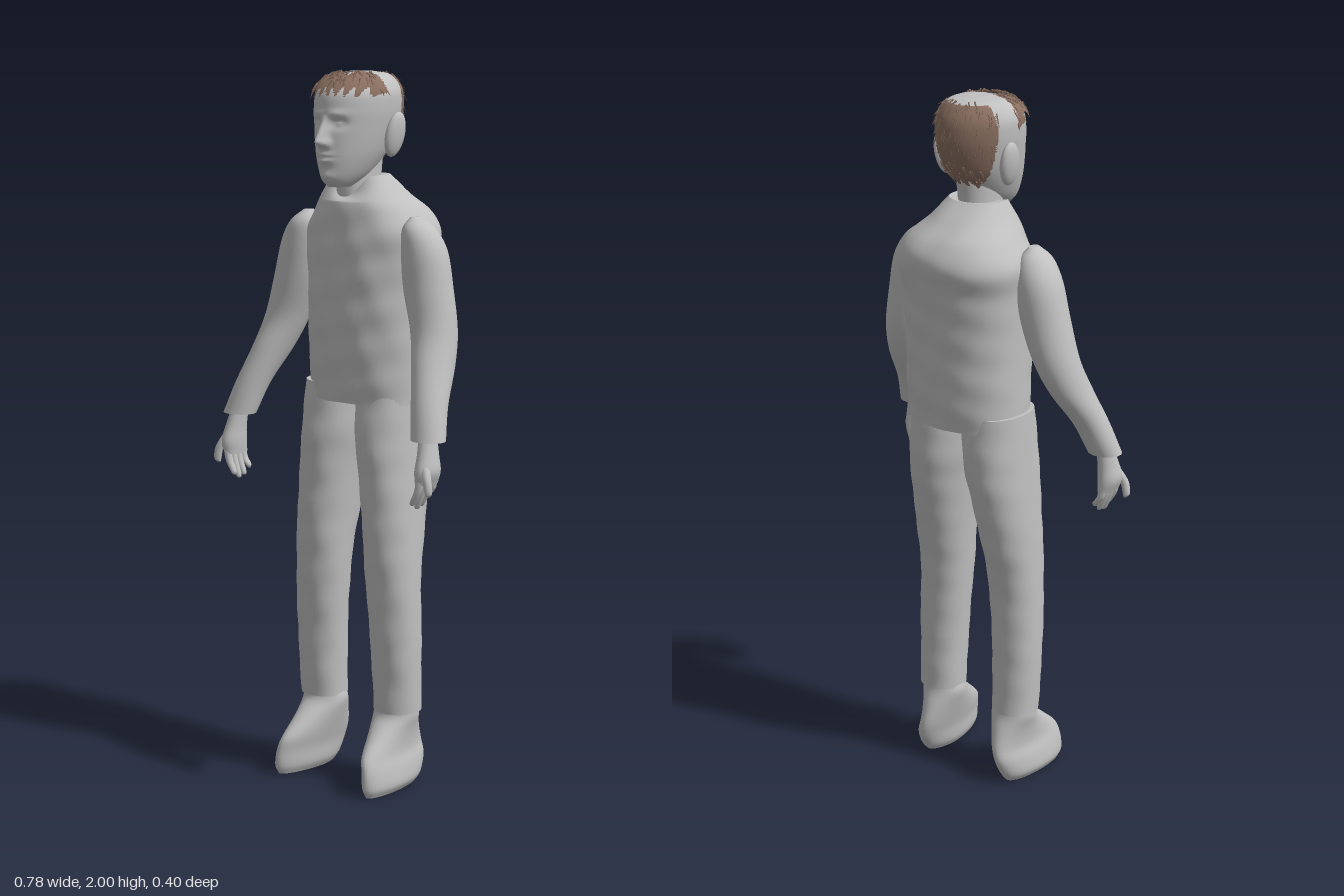
import * as THREE from 'three';
import { mergeGeometries } from 'three/addons/utils/BufferGeometryUtils.js';

const V = (x, y, z) => new THREE.Vector3(x, y, z);
const bump = (d, s) => Math.exp(-((d / s) ** 2));
const clamp01 = (t) => Math.min(1, Math.max(0, t));

// Lofts elliptical rings through sections [y, centreX, halfWidth, zFront, zBack], bottom to top.
function loft(sections, { n = 32, rows = 30, power = 1, grow = 0, shape = null, keep = null } = {}) {
  const a = new THREE.CatmullRomCurve3(sections.map(([y, cx, w]) => V(cx, y, w)), false, 'catmullrom');
  const b = new THREE.CatmullRomCurve3(sections.map((s) => V(s[3], 0, s[4])), false, 'catmullrom');
  const pts = [];
  const soft = (v) => Math.sign(v) * Math.abs(v) ** power;
  for (let i = 0; i <= rows; i++) {
    const p = a.getPoint(i / rows), q = b.getPoint(i / rows);
    for (let j = 0; j < n; j++) {
      const t = (j / n) * Math.PI * 2;
      const v = V(p.x + (p.z + grow) * soft(Math.sin(t)), p.y + grow * 0.4,
        (q.x + q.z) / 2 + ((q.x - q.z) / 2 + grow) * soft(Math.cos(t)));
      if (shape) shape(v, t);
      pts.push(v);
    }
  }
  const index = [];
  const face = (...f) => {
    const c = f.reduce((s, k) => s.add(pts[k]), V(0, 0, 0)).divideScalar(3);
    if (!keep || keep(c)) index.push(...f);
  };
  for (let i = 0; i < rows; i++) for (let j = 0; j < n; j++) {
    const k = (j + 1) % n, p = i * n + j, q = i * n + k;
    face(p, q, q + n);
    face(p, q + n, p + n);
  }
  // Separate rings for the end caps keep their edges sharp
  for (const [row, top] of [[0, false], [rows, true]]) {
    const ring = pts.slice(row * n, row * n + n), s = pts.length;
    pts.push(...ring, ring.reduce((m, v) => m.add(v), V(0, 0, 0)).divideScalar(n));
    for (let j = 0; j < n; j++) {
      const k = s + ((j + 1) % n);
      if (top) face(s + n, s + j, k); else face(s + n, k, s + j);
    }
  }
  const g = new THREE.BufferGeometry().setFromPoints(pts);
  g.setIndex(index);
  g.computeVertexNormals();
  return g;
}

// Gentle cloth folds
const folds = (amount) => (v) => {
  v.z += amount * Math.sin(v.y * 45 + v.x * 22) * Math.sin(v.x * 38 - v.y * 17);
};

const TORSO = [[1.095, .02, .18, .105, -.16], [1.2, .02, .18, .115, -.17], [1.35, .02, .181, .12, -.175],
  [1.48, .02, .185, .12, -.185], [1.56, .02, .193, .115, -.2], [1.62, .02, .16, .11, -.178],
  [1.67, .015, .118, .1, -.12], [1.72, .012, .082, .075, -.065]];
const LEG = [[.215, .135, .066, .07, -.06], [.4, .135, .072, .08, -.055], [.6, .127, .077, .093, -.06],
  [.75, .119, .08, .1, -.09], [.9, .107, .085, .102, -.125], [1.0, .097, .09, .103, -.138], [1.14, .09, .092, .085, -.135]];
const FOOT = [[0, .15, .036, .175, -.05], [.025, .15, .05, .186, -.07], [.07, .145, .05, .184, -.09],
  [.11, .135, .05, .17, -.09], [.16, .13, .058, .115, -.075], [.2, .13, .066, .07, -.058], [.23, .133, .062, .062, -.052]];
const ARM = [[1.03, .34, .05, .167, .08], [1.12, .317, .05, .143, .04], [1.22, .287, .056, .108, -.025],
  [1.31, .262, .064, .077, -.055], [1.42, .233, .07, .07, -.062], [1.52, .215, .064, .068, -.06],
  [1.58, .2, .044, .06, -.04], [1.613, .19, .012, .03, -.005]];
const PALM = [[.915, .345, .022, .178, .095], [.95, .35, .03, .182, .095], [.99, .347, .027, .168, .098], [1.04, .34, .024, .15, .098]];
const HEAD = [[1.69, .01, .028, .13, .06], [1.705, .01, .043, .148, .02], [1.73, .01, .06, .156, -.02],
  [1.77, .01, .078, .16, -.06], [1.81, .01, .09, .16, -.09], [1.86, .01, .1, .158, -.108], [1.9, .01, .105, .155, -.113],
  [1.94, .01, .104, .146, -.108], [1.97, .01, .088, .118, -.092], [1.988, .01, .064, .08, -.07], [1.996, .01, .02, .03, -.02]];

// Nose, brow, eyes, lips and chin
function faceShape(v) {
  if (v.z < 0.06) return;
  const x = v.x - 0.01, y = v.y, ax = Math.abs(x);
  const ridge = y > 1.815 ? clamp01((1.885 - y) / 0.07) : bump(y - 1.815, 0.014);
  v.z += 0.04 * ridge * bump(x, 0.012)
    + 0.012 * bump(ax - 0.014, 0.008) * bump(y - 1.808, 0.011)
    + 0.005 * bump(ax - 0.035, 0.025) * bump(y - 1.888, 0.01)
    - 0.014 * bump(ax - 0.036, 0.02) * bump(y - 1.862, 0.013)
    + 0.009 * bump(ax - 0.037, 0.011) * bump(y - 1.861, 0.007)
    + 0.011 * bump(x, 0.024) * bump(y - 1.77, 0.015)
    - 0.009 * bump(x, 0.024) * bump(y - 1.771, 0.004)
    + 0.007 * bump(x, 0.025) * bump(y - 1.72, 0.014);
}

export function createModel() {
  const model = new THREE.Group();
  model.name = 'standingFigure';
  const grey = new THREE.MeshStandardMaterial({ color: 0xc0c0c0, side: THREE.DoubleSide });
  grey.name = 'plain grey';
  const brown = new THREE.MeshStandardMaterial({ color: 0x8a6f60, side: THREE.DoubleSide });
  brown.name = 'hair brown';
  const add = (name, geometry, material = grey) => {
    const mesh = new THREE.Mesh(geometry, material);
    mesh.name = name;
    model.add(mesh);
    return mesh;
  };

  // Shirt, with the collar dipping at the front
  add('shirt', loft(TORSO, {
    n: 64, rows: 70, power: 0.88,
    shape: (v, t) => {
      folds(0.003)(v);
      v.y -= 0.055 * clamp01((v.y - 1.65) / 0.07) * Math.max(0, Math.cos(t)) ** 4;
    },
  }));

  // Limbs, mirrored left and right
  for (const [side, s] of [['left', 1], ['right', -1]]) {
    const place = (list, shift) => list.map(([y, a, w, f, b]) => [y, s * a + shift(y), w, f, b]);
    const armShift = (y) => 0.0175 * clamp01((y - 1.05) / 0.5);
    add(side + 'TrouserLeg', loft(place(LEG, () => 0.01), { n: 40, rows: 50, power: 0.92, shape: folds(0.002) }));
    add(side + 'Foot', loft(place(FOOT, () => 0.01), {
      n: 40, rows: 24,
      // narrow the toe and turn it outwards
      shape: (v) => {
        const k = clamp01((v.z - 0.03) / 0.15), c = s * 0.15 + 0.01;
        v.x = c + (v.x - c) * (1 - 0.15 * k) + s * 0.012 * k;
      },
    }));
    add(side + 'Sleeve', loft(place(ARM, armShift), { n: 36, rows: 44 }));

    // Hand with four fingers and a thumb
    const hand = [loft(place(PALM, () => 0), { n: 24, rows: 14 })];
    [[.107, .868], [.128, .85], [.149, .845], [.169, .857]].forEach(([z, tip]) => {
      hand.push(loft(place([[tip, .322, .004, z + .004, z - .004], [tip + .01, .325, .009, z + .009, z - .009],
        [.9, .342, .011, z + .011, z - .011], [.945, .35, .011, z + .011, z - .011]], () => 0), { n: 10, rows: 10 }));
    });
    hand.push(loft(place([[.888, .378, .005, .178, .168], [.9, .381, .01, .186, .163],
      [.935, .374, .012, .185, .16], [.975, .355, .012, .17, .145]], () => 0), { n: 10, rows: 10 }));
    add(side + 'Hand', mergeGeometries(hand));

    // Ear
    const ear = add(side + 'Ear', new THREE.SphereGeometry(1, 20, 14));
    ear.scale.set(0.018, 0.062, 0.036);
    ear.position.set(0.01 + s * 0.112, 1.83, -0.005);
    ear.rotation.set(-0.15, 0, -s * 0.15);
  }

  // Neck and head
  add('neck', loft([[1.62, .012, .062, .08, -.065], [1.67, .01, .055, .085, -.058],
    [1.72, .01, .054, .085, -.06], [1.8, .01, .056, .08, -.07]], { n: 32, rows: 12 }));
  add('head', loft(HEAD, { n: 128, rows: 90, shape: faceShape }));

  // Bare band over the crown between the two hair pieces
  add('crownBand', loft(HEAD, {
    n: 72, rows: 60, grow: 0.008,
    keep: (c) => c.y > 1.79 && c.z < 0.032 && c.z > -0.06,
  }));

  // Front fringe and back hair
  const jag = (v) => 0.012 * Math.sin(v * 260);
  const fringe = loft(HEAD, {
    n: 96, rows: 70, grow: 0.01,
    keep: (c) => c.z > 0.03 && c.y > 1.945 - 0.35 * Math.max(0, 0.07 - c.z) + jag(c.x)
      && !(Math.abs(c.x - 0.01) < 0.032 && c.z > 0.035 && c.z < 0.09),
  });
  const backHair = loft(HEAD, {
    n: 96, rows: 70, grow: 0.011,
    keep: (c) => c.z < -0.045 && c.y > 1.77 + jag(c.x) && c.y < 1.988,
  });
  add('fringe', fringe, brown);
  add('backHair', backHair, brown);

  // Loose strands scattered over the hair
  let seed = 7;
  const rand = () => (seed = (seed * 16807) % 2147483647) / 2147483647;
  const strands = [];
  for (const [g, count] of [[fringe, 90], [backHair, 130]]) {
    for (let i = 0; i < count; i++) {
      const k = g.index.array[Math.floor(rand() * g.index.count)];
      const p = new THREE.Vector3().fromBufferAttribute(g.attributes.position, k);
      const normal = p.clone().sub(V(0.01, 1.88, 0.01)).normalize();
      const dir = V((rand() - 0.5) * 0.9, -1, (rand() - 0.5) * 0.6);
      dir.addScaledVector(normal, 0.12 - dir.dot(normal)).normalize();
      const cone = new THREE.ConeGeometry(0.0028, 0.025 + 0.02 * rand(), 4);
      cone.applyQuaternion(new THREE.Quaternion().setFromUnitVectors(V(0, 1, 0), dir));
      cone.translate(p.x, Math.min(p.y, 1.992), p.z);
      strands.push(cone);
    }
  }
  add('hairStrands', mergeGeometries(strands), brown);

  return model;
}
